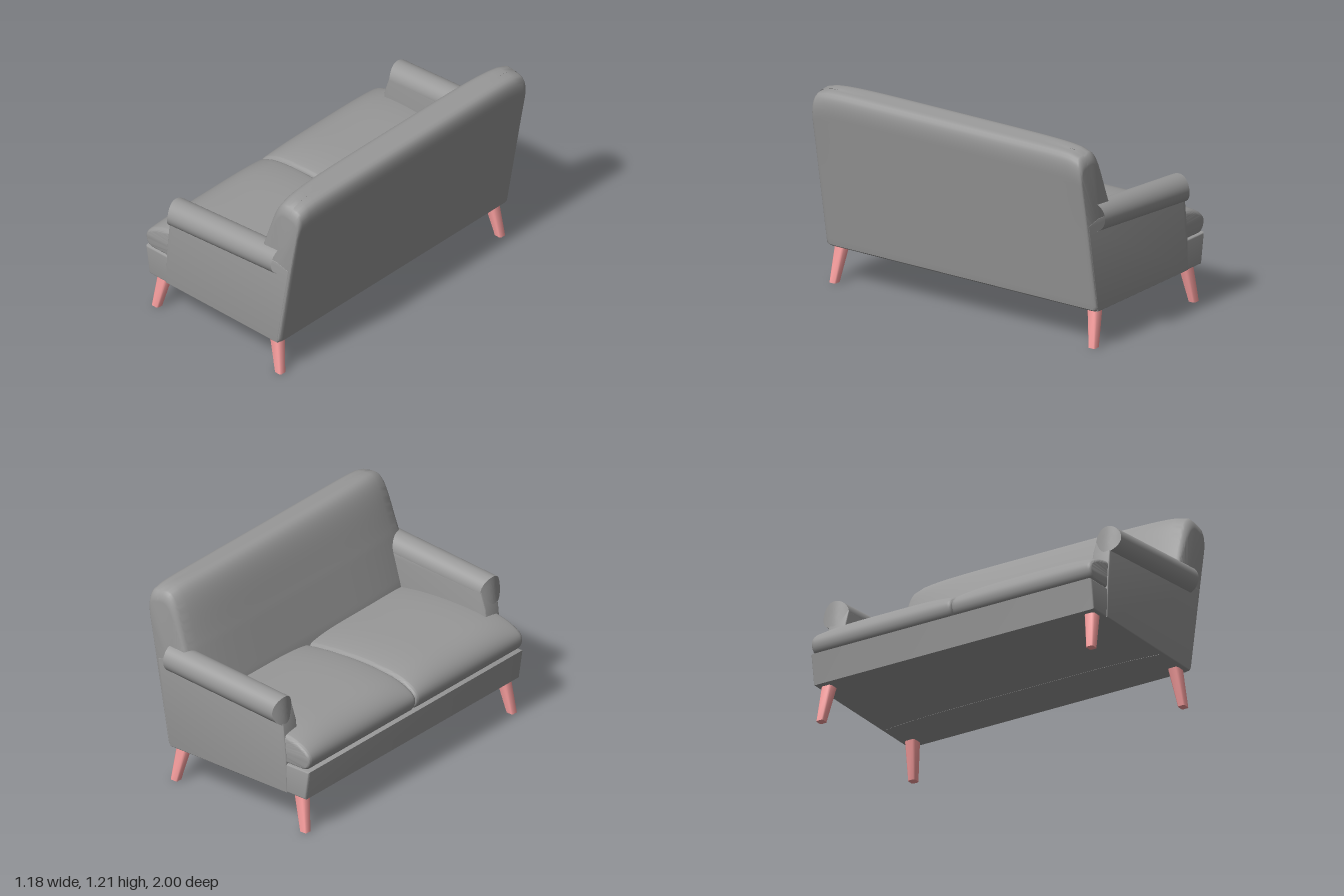
import * as THREE from 'three';
import { toCreasedNormals } from 'three/addons/utils/BufferGeometryUtils.js';

const fabric = new THREE.MeshStandardMaterial({ color: 0x999999 });
const openFabric = new THREE.MeshStandardMaterial({ color: 0x999999, side: THREE.DoubleSide });
const wood = new THREE.MeshStandardMaterial({ color: 0xffa3a3 });

function addMesh(group, name, geometry, material) {
  const mesh = new THREE.Mesh(geometry, material);
  mesh.name = name;
  group.add(mesh);
}

// Sweeps a side profile along z with rounded ends; bend(p, u, inset) reshapes each
// section, where u runs from -1 to 1 and inset grows to the rounding radius at the ends.
function loft(shape, z0, z1, radius, bend) {
  const ring = shape.getSpacedPoints(130);
  if (ring[0].distanceTo(ring[ring.length - 1]) < 1e-5) ring.pop();
  const near = [], middle = [];
  for (let i = 0; i <= 6; i++) {
    const a = (i / 6) * Math.PI / 2;
    near.push([z0 + radius * (1 - Math.cos(a)), radius * (1 - Math.sin(a))]);
  }
  for (let i = 1; i < 30; i++) {
    middle.push([THREE.MathUtils.lerp(z0 + radius, z1 - radius, i / 30), 0]);
  }
  const far = near.map(([z, d]) => [z0 + z1 - z, d]).reverse();
  const stations = [...near, ...middle, ...far];

  const n = ring.length, pos = [], index = [];
  const centre = (z0 + z1) / 2, half = (z1 - z0) / 2;
  stations.forEach(([z, d]) => ring.forEach((p) => {
    const [x, y] = bend(p, (z - centre) / half, d);
    pos.push(x, y, z);
  }));
  for (let i = 0; i < stations.length - 1; i++) {
    for (let j = 0; j < n; j++) {
      const a = i * n + j, b = i * n + (j + 1) % n;
      index.push(a, b, b + n, a, b + n, a + n);
    }
  }
  // End caps
  [0, stations.length - 1].forEach((s, end) => {
    const c = pos.length / 3, mid = [0, 0];
    for (let j = 0; j < n; j++) {
      mid[0] += pos[(s * n + j) * 3] / n;
      mid[1] += pos[(s * n + j) * 3 + 1] / n;
    }
    pos.push(mid[0], mid[1], stations[s][0]);
    for (let j = 0; j < n; j++) {
      const a = s * n + j, b = s * n + (j + 1) % n;
      if (end) index.push(c, a, b); else index.push(c, b, a);
    }
  });
  const geo = new THREE.BufferGeometry();
  geo.setAttribute('position', new THREE.Float32BufferAttribute(pos, 3));
  geo.setIndex(index);
  return toCreasedNormals(geo, 0.7);
}

// Straight panel with softened edges, cut from a side outline
function panel(points, z0, z1, bevel) {
  const shape = new THREE.Shape(points.map(([x, y]) => new THREE.Vector2(x, y)));
  const geo = new THREE.ExtrudeGeometry(shape, {
    depth: z1 - z0 - 2 * bevel, bevelSize: bevel, bevelThickness: bevel,
    bevelOffset: -bevel, bevelSegments: 3,
  });
  geo.translate(0, 0, z0 + bevel);
  return toCreasedNormals(geo, 0.7);
}

// Rolled arm top: closed front curving back at the sides, open rear, rising to the back
function armRoll(side) {
  const len = 0.825, r = 0.085;
  const profile = [[r, 0], [r, len], [0.06, len], [0.03, len], [0, len]]
    .map(([x, y]) => new THREE.Vector2(x, y));
  const geo = new THREE.LatheGeometry(profile, 40);
  const p = geo.attributes.position;
  for (let i = 0; i < p.count; i++) {
    const x = p.getX(i), y = p.getY(i), z = p.getZ(i);
    const front = x * 0.1 + 0.025 * (z / r) ** 2;
    p.setXYZ(i, 0.43 - y + front * (y / len), 0.787 + x - 0.075 * y, z + side * 0.915);
  }
  return toCreasedNormals(geo, 0.6);
}

// Tapered, splayed leg with chamfered corners
function leg(top, bottom) {
  const geo = new THREE.CylinderGeometry(1, 1, 1, 8, 1);
  geo.rotateY(Math.PI / 8);
  const p = geo.attributes.position;
  const square = (v) => Math.abs(v) < 0.01 ? 0 : Math.sign(v) * (Math.abs(v) > 0.6 ? 1 : 0.7);
  for (let i = 0; i < p.count; i++) {
    const up = p.getY(i) > 0, e = up ? top : bottom;
    p.setXYZ(i, e[0] + square(p.getX(i)) * e[2], up ? 0.24 : 0, e[1] + square(p.getZ(i)) * e[3]);
  }
  return toCreasedNormals(geo, 0.9);
}

export function createModel() {
  const sofa = new THREE.Group();
  sofa.name = 'sofa';

  // Seat base with a raked front
  addMesh(sofa, 'seatBase', panel(
    [[-0.565, 0.222], [0.36, 0.222], [0.36, 0.405], [-0.592, 0.405]], -0.942, 0.942, 0.012), fabric);

  // Leaning backrest, crowned at the front and rounded at the top corners
  const back = new THREE.Shape();
  back.moveTo(0.12, 0.221);
  back.lineTo(0.425, 0.221);
  back.quadraticCurveTo(0.441, 0.221, 0.444, 0.24);
  back.lineTo(0.58, 1.04);
  back.bezierCurveTo(0.6, 1.15, 0.585, 1.195, 0.55, 1.2);
  back.lineTo(0.45, 1.212);
  back.bezierCurveTo(0.37, 1.22, 0.34, 1.06, 0.278, 0.87);
  back.lineTo(0.2, 0.6);
  back.lineTo(0.12, 0.221);
  addMesh(sofa, 'backrest', loft(back, -0.945, 0.945, 0.035, (p, u, d) => {
    const cx = 0.28 + (p.y - 0.22) * 0.22;
    const high = THREE.MathUtils.smoothstep(p.y, 0.7, 1.2);
    const front = p.x < cx ? 0.035 * Math.pow(Math.abs(u), 5) : 0;
    const drop = high * (0.022 * Math.pow(Math.abs(u), 12) + 0.03 * Math.pow(Math.abs(u), 40));
    const inset = d * (0.4 + 0.6 * high);
    return [cx + (p.x + front - cx) * (1 - inset / 0.2), 0.7 + (p.y - 0.7) * (1 - inset / 0.5) - drop];
  }), fabric);

  // Two seat cushions with a bullnose front
  const seat = new THREE.Shape();
  seat.moveTo(-0.55, 0.408);
  seat.lineTo(0.24, 0.408);
  seat.lineTo(0.24, 0.575);
  seat.bezierCurveTo(0.05, 0.62, -0.25, 0.63, -0.41, 0.605);
  seat.bezierCurveTo(-0.52, 0.592, -0.597, 0.54, -0.594, 0.468);
  seat.quadraticCurveTo(-0.59, 0.415, -0.55, 0.408);
  const seatBend = (p, u, d) => {
    const crown = 0.026 * Math.pow(Math.abs(u), 4) * THREE.MathUtils.smoothstep(p.y, 0.46, 0.6);
    return [p.x + (p.x < -0.3 ? d * 0.5 : 0), 0.48 + (p.y - 0.48) * (1 - d / 0.13) - crown];
  };
  addMesh(sofa, 'leftSeatCushion', loft(seat, 0.001, 0.94, 0.025, seatBend), fabric);
  addMesh(sofa, 'rightSeatCushion', loft(seat, -0.94, -0.001, 0.025, seatBend), fabric);

  // Arms and legs on both sides
  for (const side of [1, -1]) {
    const name = side > 0 ? 'left' : 'right';
    const z = [0.83 * side, 0.946 * side].sort((a, b) => a - b);
    addMesh(sofa, name + 'ArmPanel', panel(
      [[-0.432, 0.223], [0.425, 0.223], [0.515, 0.76], [0.42, 0.785], [-0.372, 0.735],
        [-0.405, 0.64], [-0.425, 0.45]], z[0], z[1], 0.006), fabric);
    addMesh(sofa, name + 'ArmRoll', armRoll(side), openFabric);
    addMesh(sofa, name + 'FrontLeg',
      leg([-0.488, 0.882 * side, 0.038, 0.034], [-0.535, 0.907 * side, 0.025, 0.023]), wood);
    addMesh(sofa, name + 'BackLeg',
      leg([0.366, 0.882 * side, 0.038, 0.034], [0.413, 0.907 * side, 0.025, 0.023]), wood);
  }
  return sofa;
}
